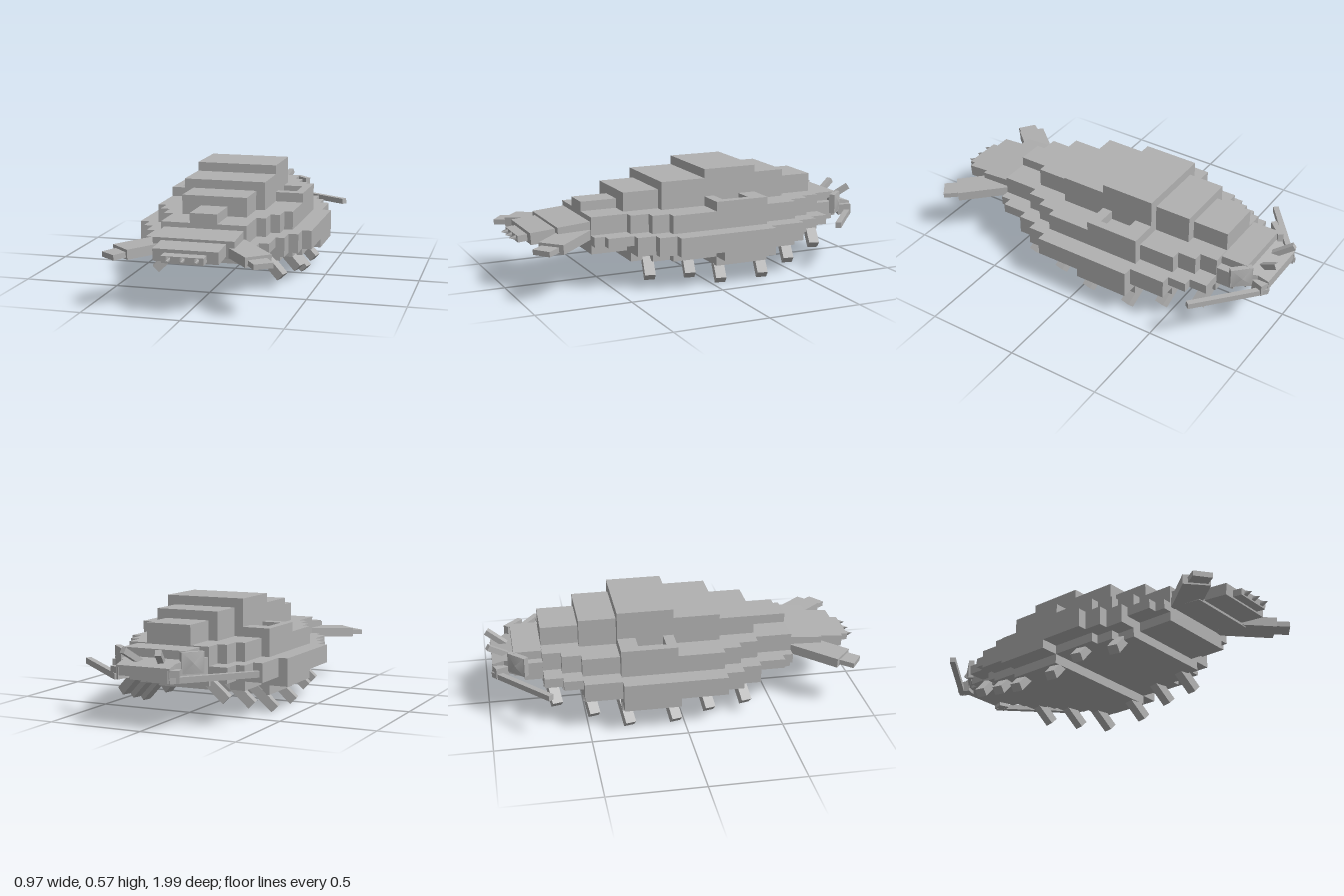
import * as THREE from 'three';

export function createModel() {
  const model = new THREE.Group();
  const shell = new THREE.MeshStandardMaterial({ color: 0xb0b0b0 });
  shell.name = 'shell grey';

  const add = (name, geometry, parent = model) => {
    const mesh = new THREE.Mesh(geometry, shell);
    mesh.name = name;
    parent.add(mesh);
    return mesh;
  };
  // Axis-aligned block from x, y and z ranges
  const block = (name, x0, x1, y0, y1, z0, z1) =>
    add(name, new THREE.BoxGeometry(x1 - x0, y1 - y0, z1 - z0))
      .position.set((x0 + x1) / 2, (y0 + y1) / 2, (z0 + z1) / 2);
  // Block centred on x = 0
  const tier = (name, half, y0, y1, z0, z1) => block(name, -half, half, y0, y1, z0, z1);
  // Square bar running between two points
  const bar = (name, from, to, width, height) => {
    const a = new THREE.Vector3(...from), b = new THREE.Vector3(...to);
    const mesh = add(name, new THREE.BoxGeometry(width, height, a.distanceTo(b)));
    mesh.position.copy(a).add(b).multiplyScalar(0.5);
    mesh.lookAt(b);
    return mesh;
  };

  // Stepped body segments: rows of [half width, y0, y1, z0, z1]
  const segments = {
    frontSegment: [
      [0.07, 0.30, 0.44, 0.41, 0.605], [0.22, 0.197, 0.39, 0.41, 0.605],
      [0.32, 0.245, 0.295, 0.41, 0.55], [0.27, 0.245, 0.295, 0.41, 0.605]],
    shoulderSegment: [
      [0.17, 0.30, 0.49, 0.215, 0.41], [0.32, 0.15, 0.39, 0.215, 0.31],
      [0.27, 0.15, 0.39, 0.31, 0.41], [0.415, 0.197, 0.295, 0.215, 0.31],
      [0.365, 0.197, 0.295, 0.31, 0.41]],
    forwardMiddleSegment: [
      [0.217, 0.30, 0.537, -0.03, 0.215], [0.365, 0.15, 0.39, -0.03, 0.215],
      [0.465, 0.197, 0.295, -0.03, 0.215]],
    tallSegment: [
      [0.217, 0.30, 0.585, -0.325, -0.03], [0.365, 0.10, 0.39, -0.325, -0.03],
      [0.465, 0.15, 0.295, -0.325, -0.03]],
    rearMiddleSegment: [
      [0.17, 0.30, 0.537, -0.52, -0.325], [0.32, 0.15, 0.39, -0.52, -0.325],
      [0.415, 0.197, 0.295, -0.52, -0.325]],
    neckSegment: [
      [0.12, 0.30, 0.49, -0.715, -0.52], [0.27, 0.197, 0.39, -0.62, -0.52],
      [0.22, 0.197, 0.39, -0.715, -0.62], [0.365, 0.245, 0.295, -0.62, -0.52],
      [0.32, 0.245, 0.295, -0.715, -0.52]],
    collar: [
      [0.215, 0.245, 0.34, -0.81, -0.715], [0.17, 0.25, 0.385, -0.86, -0.715]],
  };
  for (const [name, rows] of Object.entries(segments))
    for (const row of rows) tier(name, ...row);

  // Tapered plates at the front end, each tipped slightly down
  for (const [half, y0, y1, z0, z1] of [
    [0.205, 0.27, 0.358, 0.59, 0.775], [0.163, 0.27, 0.332, 0.765, 0.905],
    [0.105, 0.272, 0.307, 0.895, 0.955]]) {
    const plate = add('endPlate', new THREE.BoxGeometry(2 * half, y1 - y0, z1 - z0));
    plate.position.set(0, (y0 + y1) / 2, (z0 + z1) / 2);
    plate.rotation.x = 0.08;
  }
  for (const x of [-0.07, 0, 0.07]) {
    const spike = add('spike', new THREE.ConeGeometry(0.02, 0.045, 4, 1).rotateY(Math.PI / 4).rotateX(Math.PI / 2));
    spike.position.set(x, 0.289, 0.97);
  }

  // Wedge-shaped head, sloping down toward its tip
  const outline = [[-0.145, 0.97], [0.145, 0.97], [0.145, 0.91], [0.22, 0.81], [-0.22, 0.81], [-0.145, 0.91]];
  const headGeo = new THREE.ExtrudeGeometry(
    new THREE.Shape(outline.map(p => new THREE.Vector2(...p))), { depth: 0.09, bevelEnabled: false });
  headGeo.rotateX(-Math.PI / 2).translate(0, 0.265, 0);
  const p = headGeo.attributes.position;
  for (let i = 0; i < p.count; i++)
    if (p.getY(i) > 0.3) p.setY(i, 0.355 + (p.getZ(i) + 0.81) * 0.25);
  headGeo.computeVertexNormals();
  add('head', headGeo);

  for (const s of [-1, 1]) {
    // Raised rim leaving a pocket on each side of the tall segment
    const rim = (a, b, z0, z1) => block('pocketRim', Math.min(a * s, b * s), Math.max(a * s, b * s), 0.38, 0.44, z0, z1);
    rim(0.32, 0.365, -0.325, -0.03);
    rim(0.2, 0.32, -0.325, -0.23);
    rim(0.2, 0.32, -0.085, -0.03);

    // Flippers
    bar('flipper', [0.15 * s, 0.298, 0.64], [0.343 * s, 0.285, 0.858], 0.14, 0.05);
    bar('flipperTip', [0.33 * s, 0.283, 0.85], [0.383 * s, 0.278, 0.922], 0.1, 0.027);

    // Eyes: square plates with a shallow pyramid
    const eye = new THREE.Group();
    eye.name = 'eye';
    add('eyeBase', new THREE.BoxGeometry(0.115, 0.105, 0.03), eye);
    add('eyeFacet', new THREE.ConeGeometry(0.073, 0.012, 4, 1).rotateY(Math.PI / 4).rotateX(Math.PI / 2), eye)
      .position.z = 0.021;
    eye.position.set(0.195 * s, 0.33, -0.84);
    eye.rotation.y = s * Math.PI * 0.75;
    model.add(eye);

    // Antennae and horns
    bar('antenna', [0.14 * s, 0.258, -0.965], [0.475 * s, 0.274, -0.695], 0.03, 0.03);
    bar('antennaRoot', [0.12 * s, 0.275, -0.94], [0.175 * s, 0.275, -0.92], 0.07, 0.06);
    bar('horn', [0.06 * s, 0.325, -0.89], [0.095 * s, 0.39, -0.988], 0.03, 0.03);

    // Walking legs: foot centre x, y, z
    for (const [x, y, z] of [
      [0.34, 0.075, 0.335], [0.385, 0.075, 0.132], [0.385, 0.027, -0.045],
      [0.385, 0.027, -0.288], [0.34, 0.075, -0.468], [0.29, 0.127, -0.655]])
      bar('leg', [(x - 0.15) * s, y + 0.15, z - 0.035], [x * s, y, z], 0.055, 0.047);
  }
  return model;
}
